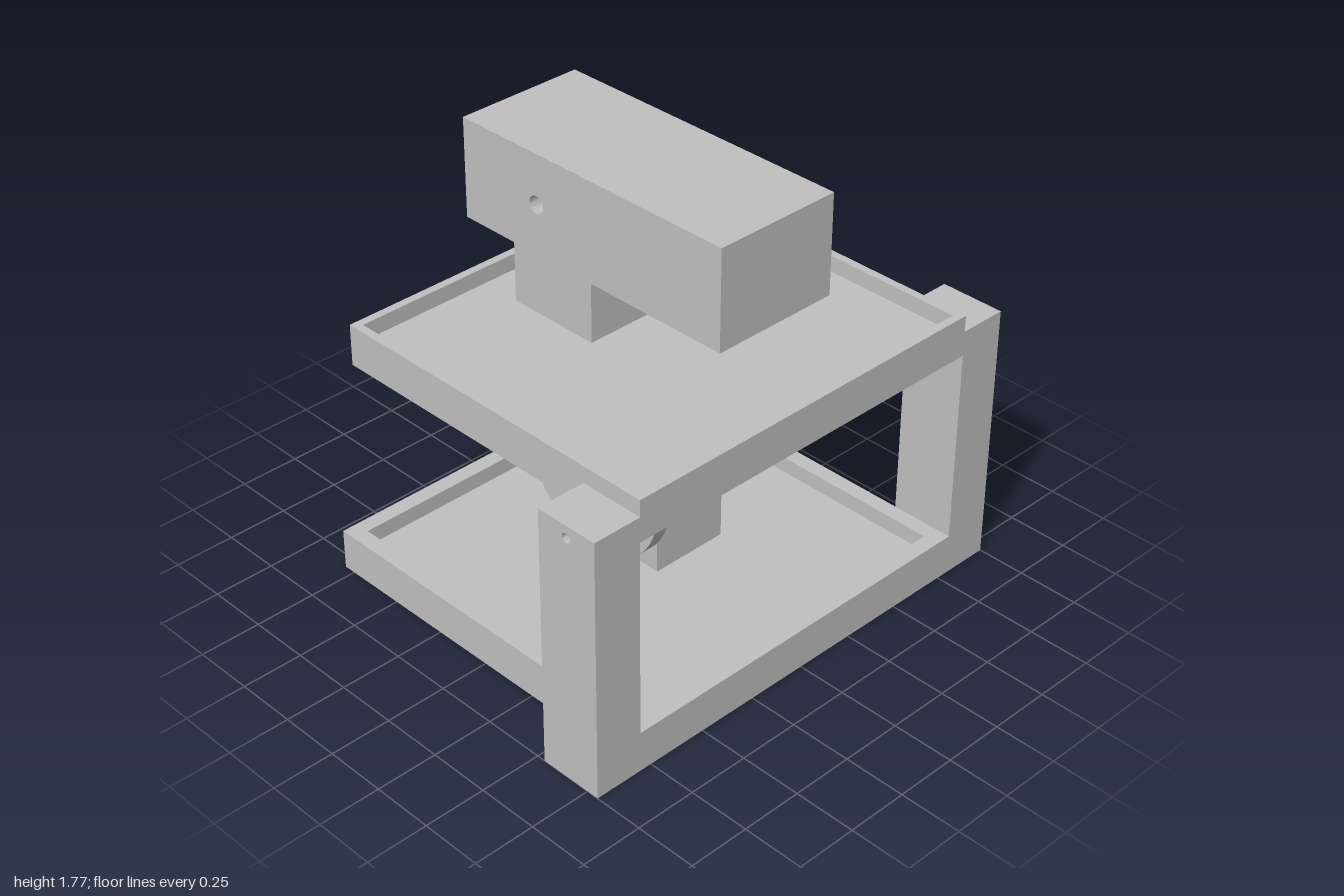
import * as THREE from 'three';
import { toCreasedNormals } from 'three/addons/utils/BufferGeometryUtils.js';

const grey = new THREE.MeshStandardMaterial({ color: 0xc0c0c0 });
grey.name = 'grey';

// Rectangle as a shape or hole path
function rect(u0, v0, u1, v1, Type = THREE.Shape) {
  const s = new Type();
  s.moveTo(u0, v0);
  s.lineTo(u1, v0);
  s.lineTo(u1, v1);
  s.lineTo(u0, v1);
  s.closePath();
  return s;
}

function drill(shape, u, v, r) {
  const hole = new THREE.Path();
  hole.absarc(u, v, r, 0, Math.PI * 2, true);
  shape.holes.push(hole);
  return shape;
}

function extrude(shape, depth) {
  return new THREE.ExtrudeGeometry(shape, { depth, bevelEnabled: false, curveSegments: 32 });
}

// Profile drawn in (-z, y), extruded from x0 to x1
function alongX(shape, x0, x1) {
  const g = extrude(shape, x1 - x0);
  g.rotateY(Math.PI / 2);
  g.translate(x0, 0, 0);
  return toCreasedNormals(g, 0.5);
}

// Profile drawn in (x, -z), extruded from y0 to y1
function alongY(shape, y0, y1) {
  const g = extrude(shape, y1 - y0);
  g.rotateX(-Math.PI / 2);
  g.translate(0, y0, 0);
  return g;
}

function boxGeo(x0, x1, y0, y1, z0, z1) {
  const g = new THREE.BoxGeometry(x1 - x0, y1 - y0, z1 - z0);
  g.translate((x0 + x1) / 2, (y0 + y1) / 2, (z0 + z1) / 2);
  return g;
}

export function createModel() {
  const model = new THREE.Group();
  model.name = 'hingedTrayMechanism';

  function group(name) {
    const g = new THREE.Group();
    g.name = name;
    model.add(g);
    return g;
  }
  function add(parent, name, geometry) {
    const m = new THREE.Mesh(geometry, grey);
    m.name = name;
    parent.add(m);
  }
  // Raised border around a tray
  function rim(back, wall, y0, y1) {
    const s = rect(-0.8, -0.8, 0.8, -back);
    s.holes.push(rect(-0.8 + wall, -0.8 + wall, 0.8 - wall, -back - wall, THREE.Path));
    return alongY(s, y0, y1);
  }

  // Base tray
  const base = group('baseTray');
  add(base, 'baseFloor', boxGeo(-0.8, 0.8, 0, 0.1, -0.8, 0.8));
  add(base, 'baseRim', rim(-0.8, 0.065, 0.1, 0.167));

  // Upper tray, with the hinge bore running through its floor
  const pinZ = 0.667, pinY = 1.017, pinR = 0.019;
  const upper = group('upperTray');
  add(upper, 'upperFloor', alongX(drill(rect(-0.8, 0.968, 0.667, 1.069), -pinZ, pinY, pinR), -0.8, 0.8));
  add(upper, 'upperRim', rim(-0.667, 0.033, 1.069, 1.135));

  // Front posts with hinge holes
  for (const [name, x0] of [['leftPost', 0.8], ['rightPost', -1]]) {
    add(model, name, alongX(drill(rect(-0.8, 0, -0.535, 1.068), -pinZ, pinY, pinR), x0, x0 + 0.2));
  }

  // Stem on the upper tray, cross-drilled
  const boreZ = -0.266, boreY = 1.57, boreR = 0.035;
  add(model, 'stem', alongX(drill(rect(0.066, 1.069, 0.466, 1.67), -boreZ, boreY, boreR), -0.2, 0.2));

  // Hollow head, open underneath
  const head = group('head');
  const w = 0.066, hx = 0.266, z0 = -0.642, z1 = 0.625;
  for (const [name, x0] of [['leftCheek', hx - w], ['rightCheek', -hx]]) {
    add(head, name, alongX(drill(rect(-z1, 1.37, -z0, 1.77), -boreZ, boreY, boreR), x0, x0 + w));
  }
  add(head, 'headTop', boxGeo(-hx + w, hx - w, 1.703, 1.77, z0, z1));
  add(head, 'headFront', boxGeo(-hx + w, hx - w, 1.37, 1.703, z1 - w, z1));
  add(head, 'headBack', boxGeo(-hx + w, hx - w, 1.37, 1.703, z0, z0 + w));

  // Open-topped housing with rounded shoulders
  const housing = group('motorHousing');
  const c = 0.066, h = 0.2, r = 0.167, cy = 0.602, t = 0.025;
  const end = new THREE.Shape();
  end.moveTo(c - h, 0.1);
  end.lineTo(c + h, 0.1);
  end.absarc(c + h - r, cy, r, 0, Math.PI / 2, false);
  end.absarc(c - h + r, cy, r, Math.PI / 2, Math.PI, false);
  end.closePath();
  const a = Math.acos((r - t) / r);
  const wall = new THREE.Shape();
  wall.moveTo(c - h, 0.1);
  wall.lineTo(c + h, 0.1);
  wall.absarc(c + h - r, cy, r, 0, a, false);
  wall.lineTo(c + h - t, 0.125);
  wall.lineTo(c - h + t, 0.125);
  wall.absarc(c - h + r, cy, r, Math.PI - a, Math.PI, false);
  wall.closePath();
  add(housing, 'leftEnd', alongX(end, 0.265 - t, 0.265));
  add(housing, 'rightEnd', alongX(end, -0.07, -0.07 + t));
  add(housing, 'housingWalls', alongX(wall, -0.07 + t, 0.265 - t));

  // Eccentric wheel with an off-centre shaft hole
  const disc = new THREE.Shape();
  disc.absarc(c, 0.5, 0.333, 0, Math.PI * 2, false);
  add(model, 'camWheel', alongX(drill(disc, c, 0.605, 0.018), -0.2, -0.137));

  return model;
}
